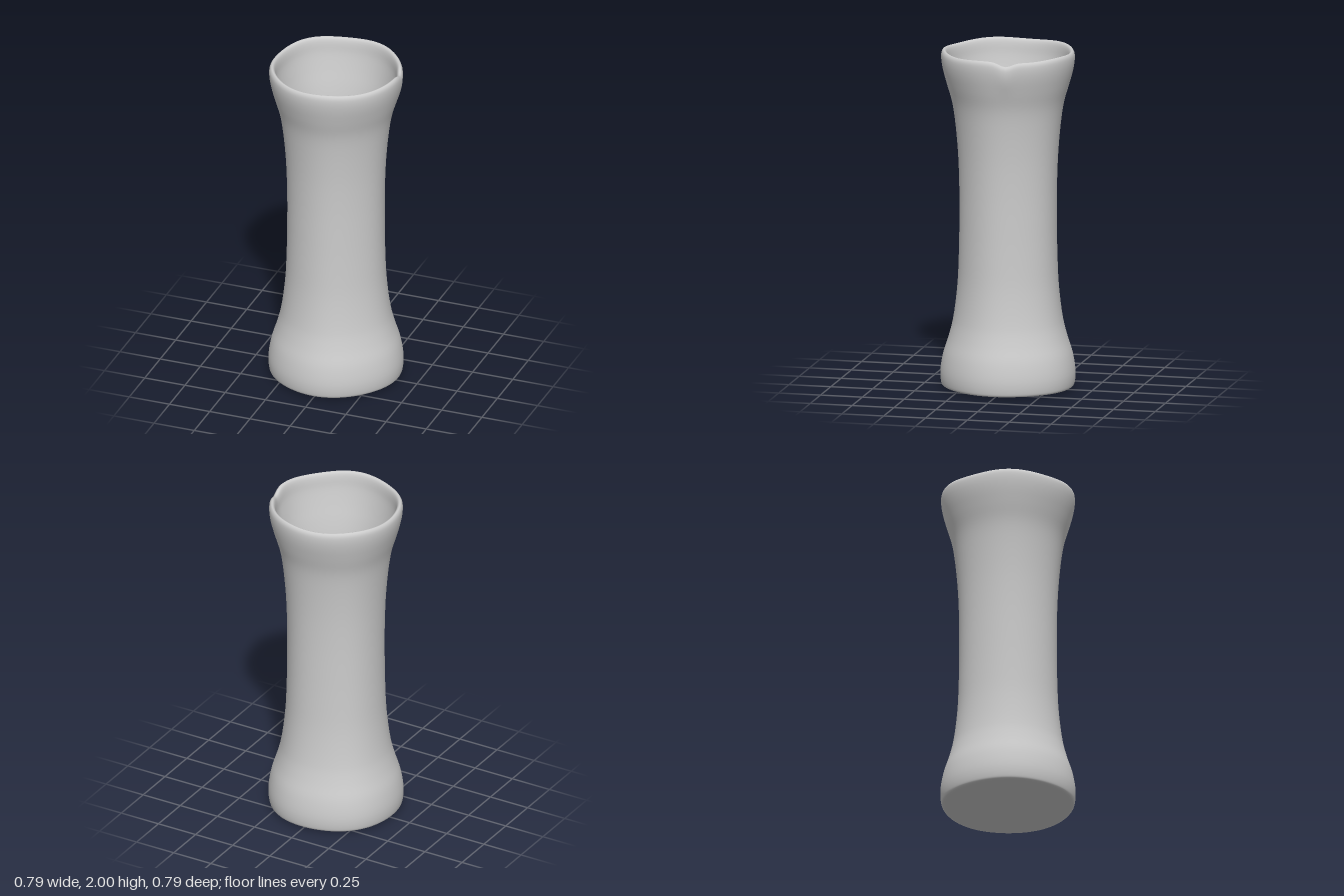
import * as THREE from 'three';
import { mergeVertices } from 'three/addons/utils/BufferGeometryUtils.js';

// Closed wall section: underside, outer wall, rolled lip, inner wall, dished floor
const SECTION = [
  [0, 0], [0.2, 0.002], [0.36, 0.01], [0.382, 0.016], [0.389, 0.035],
  [0.392, 0.1], [0.376, 0.2], [0.345, 0.3], [0.32, 0.4], [0.295, 0.6],
  [0.286, 0.8], [0.283, 1.0], [0.284, 1.2], [0.292, 1.4], [0.311, 1.6],
  [0.328, 1.7], [0.357, 1.8], [0.38, 1.89], [0.388, 1.95], [0.385, 1.983],
  [0.374, 1.997], [0.362, 1.992], [0.353, 1.97], [0.345, 1.9], [0.325, 1.8],
  [0.302, 1.7], [0.285, 1.6], [0.272, 1.4], [0.267, 1.2], [0.266, 1.0],
  [0.268, 0.8], [0.275, 0.6], [0.28, 0.42], [0.268, 0.28], [0.2, 0.15],
  [0.1, 0.085], [0, 0.06],
];

function createVaseGeometry() {
  const curve = new THREE.CatmullRomCurve3(
    SECTION.map(([r, y]) => new THREE.Vector3(r, y, 0)), false, 'centripetal');
  const profile = curve.getPoints(144).map((p) => new THREE.Vector2(Math.max(p.x, 0), Math.max(p.y, 0)));
  profile[0].x = profile[profile.length - 1].x = 0;

  let geometry = new THREE.LatheGeometry(profile, 96);
  const pos = geometry.attributes.position;
  for (let i = 0; i < pos.count; i++) {
    const x = pos.getX(i), y = pos.getY(i), z = pos.getZ(i);
    const angle = Math.atan2(z, x);
    // Hand-thrown unevenness around the wall
    const swell = 1 + 0.007 * Math.cos(5 * angle - 0.6) + 0.005 * Math.cos(3 * angle + 1);
    // Slightly wavy lip with one small nick
    const nearRim = THREE.MathUtils.smoothstep(y, 1.75, 1.98);
    const nick = 0.026 * Math.exp(-(((angle + 0.19) / 0.13) ** 2));
    const wave = 0.004 * (1 - Math.cos(5 * angle - 0.6));
    pos.setXYZ(i, x * swell - 0.003 * Math.min(1, Math.hypot(x, z) / 0.2), y - nearRim * (nick + wave), z * swell);
  }

  // Weld the seam so the shading stays smooth all round
  geometry.deleteAttribute('uv');
  geometry.deleteAttribute('normal');
  geometry = mergeVertices(geometry, 1e-5);
  geometry.computeVertexNormals();
  return geometry;
}

export function createModel() {
  const group = new THREE.Group();
  group.name = 'vase';
  const material = new THREE.MeshStandardMaterial({ color: 0xcccccc, side: THREE.DoubleSide });
  const body = new THREE.Mesh(createVaseGeometry(), material);
  body.name = 'vaseBody';
  group.add(body);
  return group;
}
